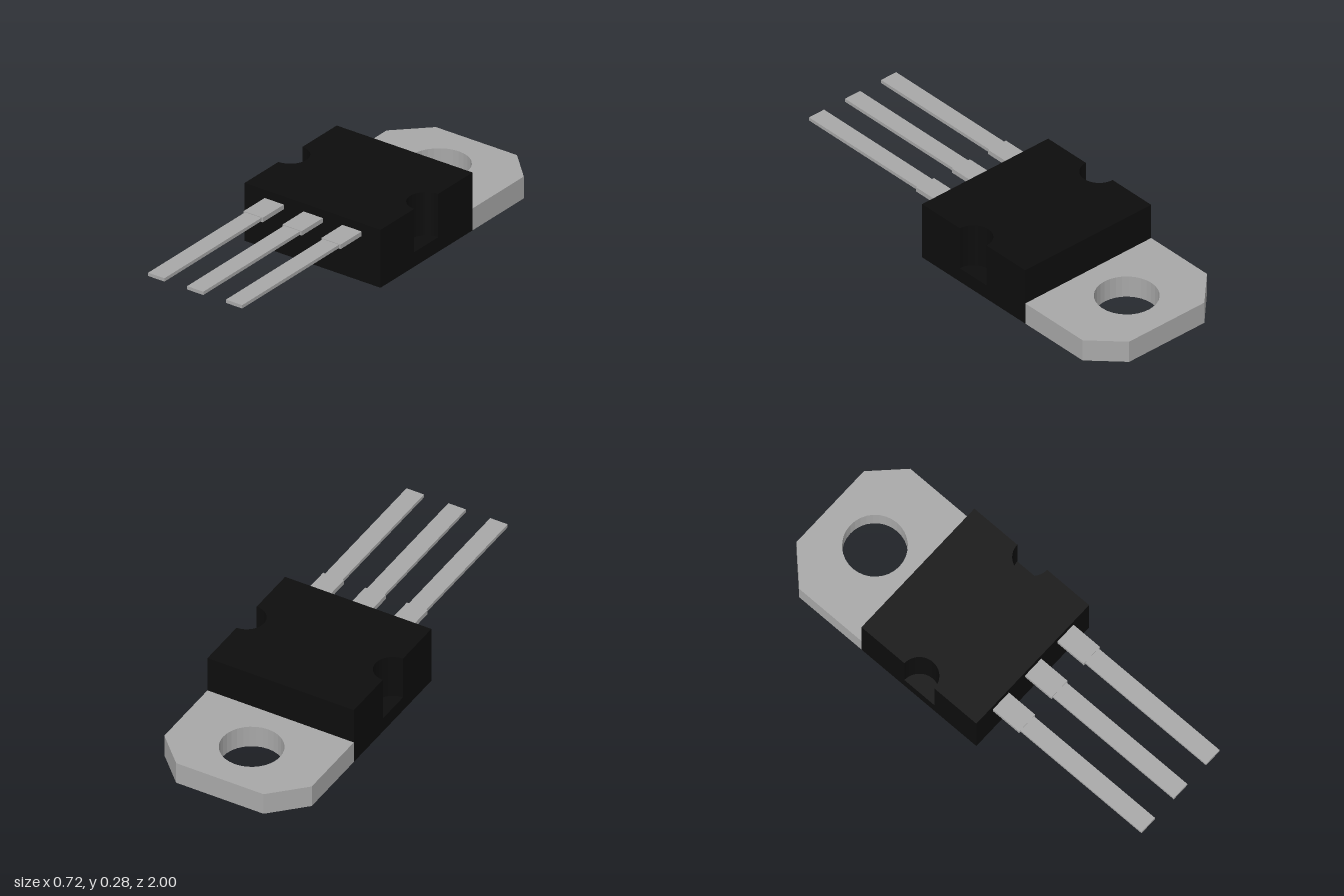
import * as THREE from 'three';

export function createModel() {
  const model = new THREE.Group();
  const metal = new THREE.MeshStandardMaterial({ color: 0xa8a8a8 });
  metal.name = 'grey metal';
  const plastic = new THREE.MeshStandardMaterial({ color: 0x0d0d0d });
  plastic.name = 'black plastic';

  function add(name, geometry, material) {
    const mesh = new THREE.Mesh(geometry, material);
    mesh.name = name;
    model.add(mesh);
    return mesh;
  }

  // Extrudes a plan outline (x, -z) upward between two heights
  function slab(shape, y0, y1) {
    const geometry = new THREE.ExtrudeGeometry(shape, { depth: y1 - y0, bevelEnabled: false, curveSegments: 16 });
    return geometry.rotateX(-Math.PI / 2).translate(0, y0, 0);
  }

  function box(x0, x1, y0, y1, z0, z1) {
    return new THREE.BoxGeometry(x1 - x0, y1 - y0, z1 - z0)
      .translate((x0 + x1) / 2, (y0 + y1) / 2, (z0 + z1) / 2);
  }

  const W = 0.36, FRONT = 0.16, BACK = -0.495;
  const NOTCH_Y = 0.07, NOTCH_Z = -0.165, NOTCH_R = 0.085;

  // Body: solid base, and an upper block with a round notch in each side
  add('bodyBase', box(-W, W, 0, NOTCH_Y, BACK, FRONT), plastic);
  const upper = new THREE.Shape();
  upper.moveTo(-W, -FRONT);
  upper.lineTo(W, -FRONT);
  upper.lineTo(W, -NOTCH_Z - NOTCH_R);
  upper.absarc(W, -NOTCH_Z, NOTCH_R, -Math.PI / 2, -Math.PI * 1.5, true);
  upper.lineTo(W, -BACK);
  upper.lineTo(-W, -BACK);
  upper.lineTo(-W, -NOTCH_Z + NOTCH_R);
  upper.absarc(-W, -NOTCH_Z, NOTCH_R, Math.PI / 2, -Math.PI / 2, true);
  upper.closePath();
  add('bodyUpper', slab(upper, NOTCH_Y, 0.278), plastic);

  // Mounting tab with chamfered corners and a bolt hole
  const tab = new THREE.Shape([
    [-W, -BACK], [W, -BACK], [W, 0.86], [0.22, 1], [-0.21, 1], [-W, 0.85],
  ].map(([x, y]) => new THREE.Vector2(x, y)));
  const hole = new THREE.Path();
  hole.absarc(0, 0.74, 0.14, 0, Math.PI * 2, true);
  tab.holes.push(hole);
  add('mountingTab', slab(tab, 0, 0.105), metal);

  // Three leads, each a wide shoulder and a thinner pin
  ['right', 'middle', 'left'].forEach((side, i) => {
    const x = 0.003 + (i - 1) * 0.206;
    add(side + 'LeadShoulder', box(x - 0.051, x + 0.051, 0.217, 0.239, FRONT, 0.31), metal);
    add(side + 'LeadPin', box(x - 0.043, x + 0.043, 0.22, 0.236, 0.31, 1), metal);
  });

  return model;
}
